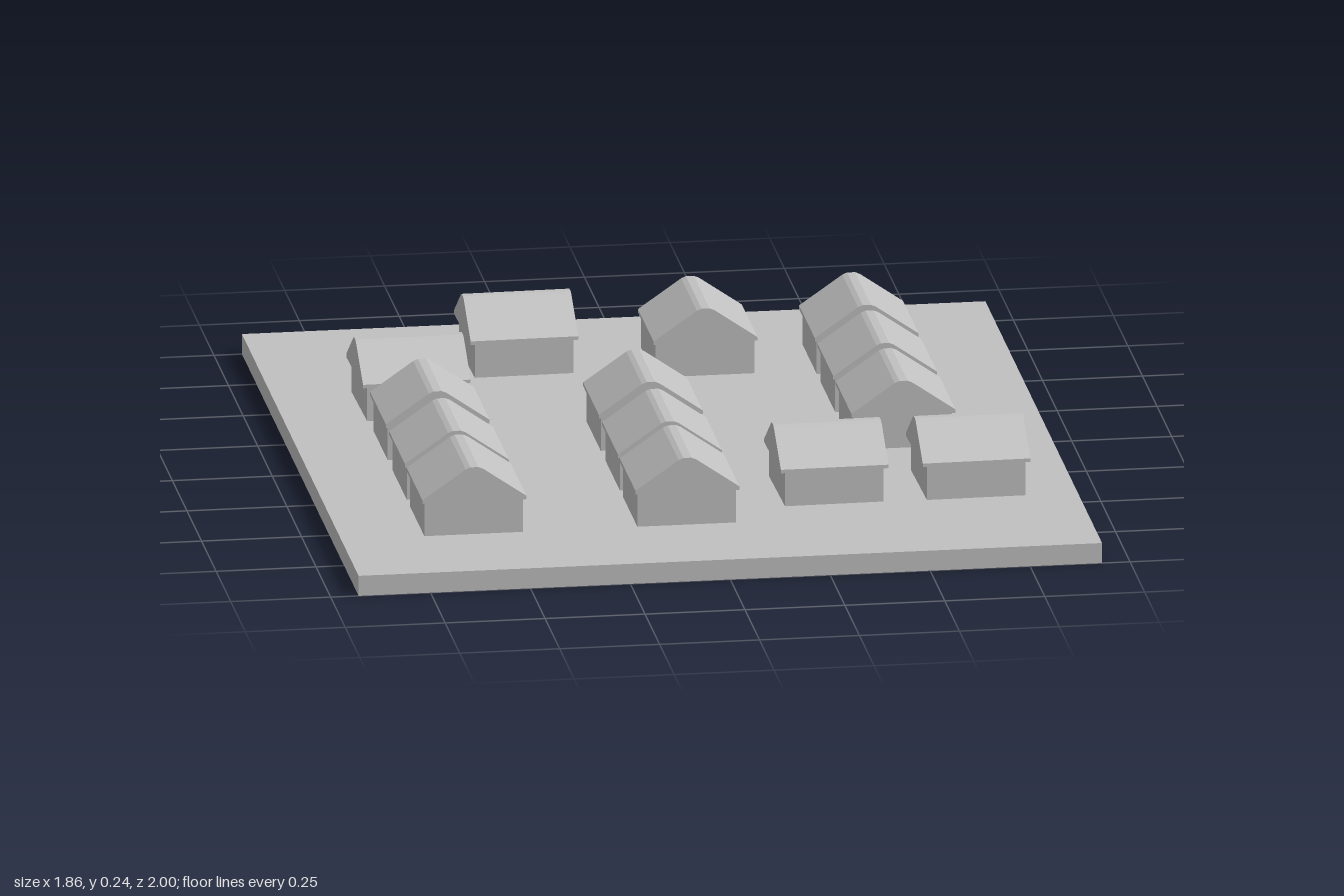
import * as THREE from 'three';

const W = 0.26;        // roof width across the ridge
const L = 0.27;        // roof length along the ridge

// Gable roof: thin eave lip, straight slopes and a blunted ridge, extruded along z
function roofGeometry() {
  const h = W / 2;
  const shape = new THREE.Shape([
    [-h, 0.152], [h, 0.152], [h, 0.161], [0.022, 0.236], [0.01, 0.241],
    [-0.01, 0.241], [-0.022, 0.236], [-h, 0.161],
  ].map(([x, y]) => new THREE.Vector2(x, y)));
  return new THREE.ExtrudeGeometry(shape, { depth: L, bevelEnabled: false }).translate(0, 0, -L / 2);
}

export function createModel() {
  const grey = new THREE.MeshStandardMaterial({ color: 0xc0c0c0 });
  grey.name = 'light grey';

  const model = new THREE.Group();
  model.name = 'houseEstate';

  // Ground slab
  const slab = new THREE.Mesh(new THREE.BoxGeometry(1.86, 0.052, 2).translate(0, 0.026, 0), grey);
  slab.name = 'groundSlab';
  model.add(slab);

  // Shared house parts; the walls hover just above the slab
  const wallGeo = new THREE.BoxGeometry(0.247, 0.09, 0.247).translate(0, 0.109, 0);
  const roofGeo = roofGeometry();

  const addHouse = (x, z, angle = 0) => {
    const house = new THREE.Group();
    house.name = 'house';
    const walls = new THREE.Mesh(wallGeo, grey);
    walls.name = 'walls';
    const roof = new THREE.Mesh(roofGeo, grey);
    roof.name = 'roof';
    house.add(walls, roof);
    house.position.set(x, 0, z);
    house.rotation.y = angle;
    model.add(house);
  };

  // Two left-hand rows of three houses
  for (const x of [-0.604, -0.071]) {
    for (const z of [-0.012, 0.315, 0.616]) addHouse(x, z);
  }
  // Right-hand row of three, and one single house at the back
  for (const z of [-0.558, -0.242, 0.07]) addHouse(0.549, z);
  addHouse(0.15, -0.586);

  // Houses turned sideways, slightly off square
  for (const [x, z] of [[-0.295, -0.65], [-0.61, -0.337], [0.313, 0.501], [0.668, 0.501]]) {
    addHouse(x, z, Math.PI / 2 + 0.015);
  }
  return model;
}
